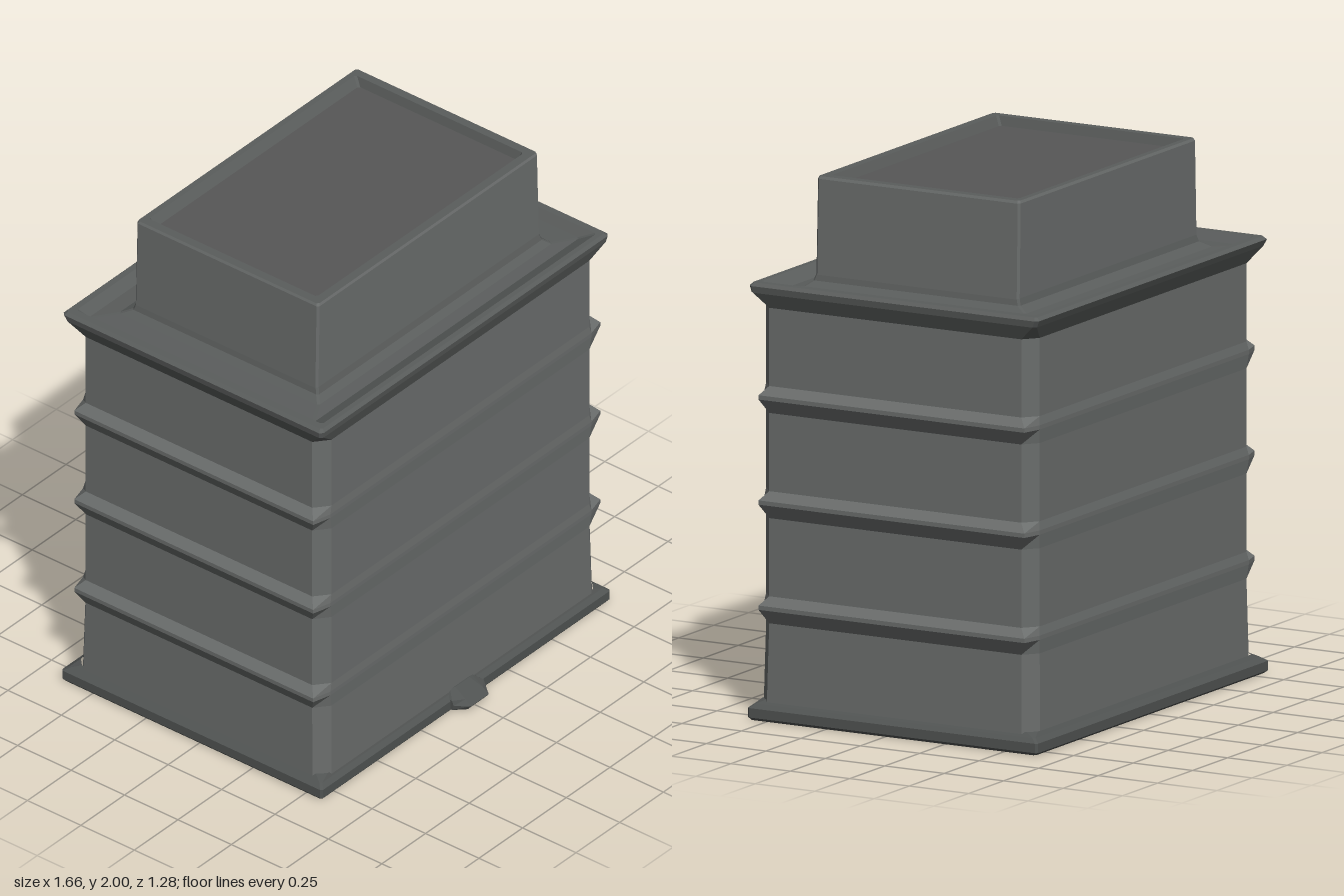
import * as THREE from 'three';

// One horizontal ring: a rectangle with chamfered corners, counter-clockwise from above.
function ring([y, hx, front, back, cx = 0.008, cz = cx]) {
  return [
    [hx, y, front - cz], [hx, y, back + cz], [hx - cx, y, back], [-hx + cx, y, back],
    [-hx, y, back + cz], [-hx, y, front - cz], [-hx + cx, y, front], [hx - cx, y, front],
  ];
}

// Skin a stack of rings [y, halfWidth, frontZ, backZ, chamferX, chamferZ].
function loft(name, color, sections, { capBottom = false, capTop = false } = {}) {
  const n = 8, positions = [], index = [];
  sections.forEach((s) => ring(s).forEach((p) => positions.push(...p)));
  for (let j = 0; j < sections.length - 1; j++) {
    for (let i = 0; i < n; i++) {
      const a = j * n + i, b = j * n + (i + 1) % n;
      index.push(a, b, b + n, a, b + n, a + n);
    }
  }
  const last = (sections.length - 1) * n;
  for (let i = 1; i < n - 1; i++) {
    if (capBottom) index.push(0, i + 1, i);
    if (capTop) index.push(last, last + i, last + i + 1);
  }
  const geometry = new THREE.BufferGeometry();
  geometry.setAttribute('position', new THREE.Float32BufferAttribute(positions, 3));
  geometry.setIndex(index);
  const flat = geometry.toNonIndexed();
  flat.computeVertexNormals();
  const mesh = new THREE.Mesh(flat, new THREE.MeshStandardMaterial({ color, flatShading: true }));
  mesh.name = name;
  return mesh;
}

export function createModel() {
  const model = new THREE.Group();
  model.name = 'ribbedContainer';
  const wallColor = 0x6a6d6c, trimColor = 0x5a5d5c, baseColor = 0x505352;
  const panelColor = 0x575757, undersideColor = 0x3c3c3c;

  // Underside and base plinth with a thin lip
  const foot = [0, 0.82, 0.57, -0.63];
  model.add(loft('underside', undersideColor, [foot], { capBottom: true }));
  model.add(loft('base', baseColor, [
    foot,
    [0.01, 0.828, 0.578, -0.642],
    [0.045, 0.828, 0.578, -0.642],
    [0.06, 0.81, 0.56, -0.62],
    [0.075, 0.79, 0.55, -0.605, 0.03],
  ]));

  // Body with chamfered corners and three ribs across each side
  const wall = (y) => [y, 0.793, 0.55, -0.6, 0.055, 0.045];
  const body = [[0.06, 0.8, 0.556, -0.606, 0.055, 0.045]];
  for (const y of [0.42, 0.81, 1.2]) {
    body.push(wall(y - 0.06));
    body.push([y - 0.008, 0.822, 0.553, -0.605, 0.075, 0.02]);
    body.push([y + 0.008, 0.822, 0.553, -0.605, 0.075, 0.02]);
    body.push(wall(y + 0.04));
  }
  body.push(wall(1.53));
  model.add(loft('body', wallColor, body));

  // Flared rim, shallow gutter and the fillet rising to the neck
  model.add(loft('rim', trimColor, [
    wall(1.53),
    [1.585, 0.82, 0.57, -0.63, 0.012],
    [1.61, 0.825, 0.575, -0.642, 0.012],
    [1.622, 0.812, 0.565, -0.63],
    [1.622, 0.785, 0.545, -0.605],
    [1.59, 0.76, 0.485, -0.57],
    [1.595, 0.67, 0.435, -0.5],
    [1.615, 0.645, 0.41, -0.46],
    [1.64, 0.638, 0.402, -0.453],
  ]));

  // Neck with a shallow recessed top
  const panel = [1.965, 0.582, 0.345, -0.402];
  model.add(loft('neck', wallColor, [
    [1.6, 0.64, 0.402, -0.453],
    [1.99, 0.63, 0.4, -0.452],
    [2, 0.626, 0.396, -0.448],
  ]));
  model.add(loft('neckLip', trimColor, [
    [2, 0.626, 0.396, -0.448],
    [2, 0.592, 0.362, -0.425],
    panel,
  ]));
  model.add(loft('topPanel', panelColor, [panel], { capTop: true }));

  // Small tab on the front edge of the base
  model.add(loft('frontTab', baseColor, [
    [0.01, 0.09, 0.625, 0.5, 0.04, 0.04],
    [0.03, 0.09, 0.642, 0.5, 0.04, 0.05],
    [0.05, 0.09, 0.615, 0.5, 0.04, 0.03],
    [0.075, 0.06, 0.56, 0.5, 0.02, 0.01],
  ], { capBottom: true, capTop: true }));

  return model;
}
